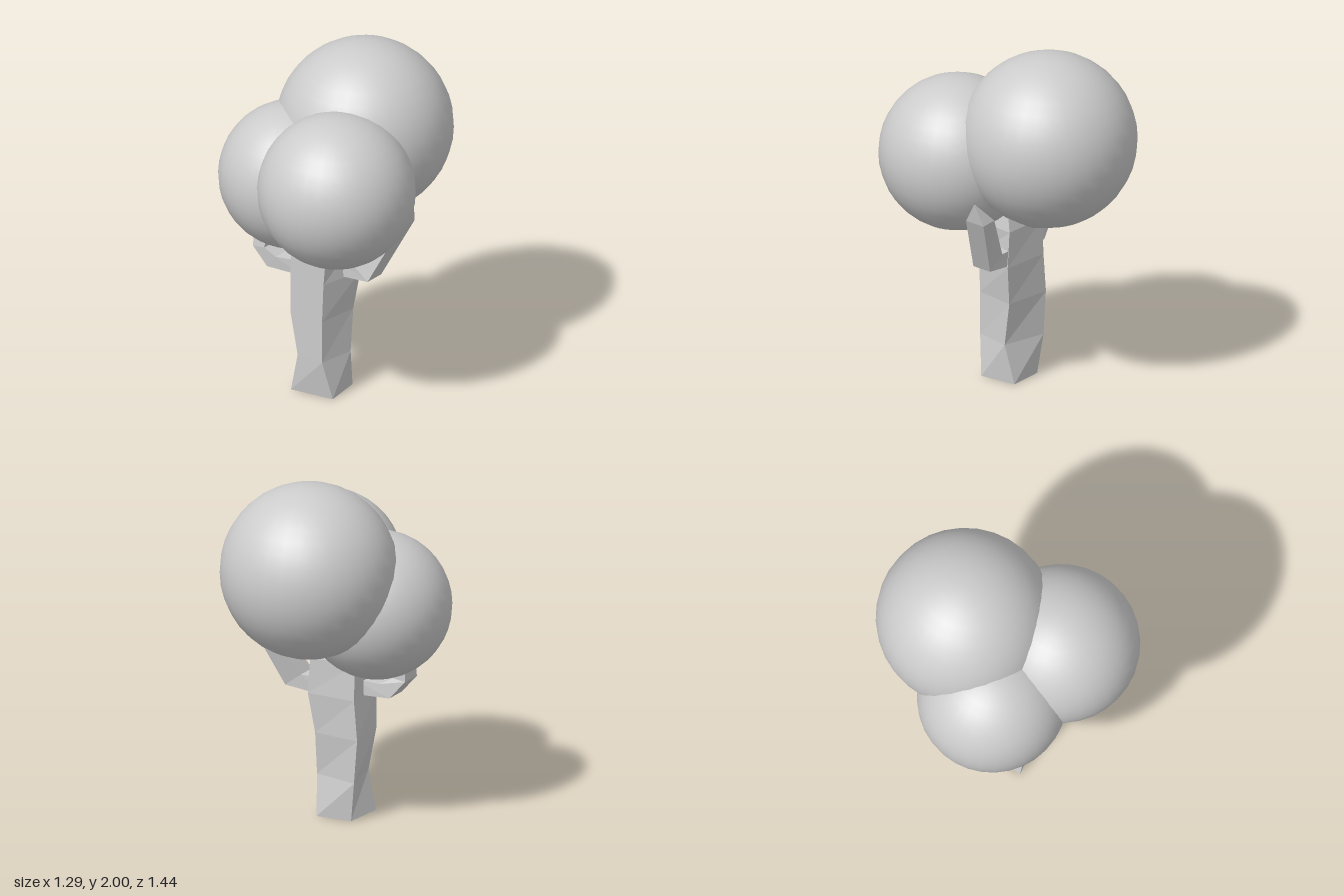
import * as THREE from 'three';

const V = (p) => new THREE.Vector3(...p);

// Skin a run of four-cornered sections and close both ends.
function loft(rings) {
  const pos = [];
  const quad = (a, b, c, d) => [a, b, c, a, c, d].forEach((p) => pos.push(...p));
  for (let r = 0; r < rings.length - 1; r++) {
    const lo = rings[r], hi = rings[r + 1];
    for (let i = 0; i < 4; i++) {
      const j = (i + 1) % 4;
      quad(lo[i], lo[j], hi[j], hi[i]);
    }
  }
  const [a, b, c, d] = rings[0];
  quad(d, c, b, a);
  quad(...rings[rings.length - 1]);
  const geo = new THREE.BufferGeometry();
  geo.setAttribute('position', new THREE.Float32BufferAttribute(pos, 3));
  geo.computeVertexNormals();
  return geo;
}

export function createModel() {
  const group = new THREE.Group();
  const wood = new THREE.MeshStandardMaterial({ color: 0xcccccc, flatShading: true });
  const leaf = new THREE.MeshStandardMaterial({ color: 0xcccccc });
  const add = (name, geo, mat) => {
    const mesh = new THREE.Mesh(geo, mat);
    mesh.name = name;
    group.add(mesh);
    return mesh;
  };

  // Trunk: height, then x/z of front-left, front-right, back-right, back-left corners on screen
  const trunk = [
    [0, [-0.15, 0.23], [0.11, 0.19], [0.08, -0.03], [-0.13, -0.01]],
    [0.23, [-0.1, 0.235], [0.07, 0.235], [0.105, 0.02], [-0.16, -0.03]],
    [0.48, [-0.15, 0.235], [0.07, 0.235], [0.1, -0.01], [-0.18, -0.03]],
    [0.71, [-0.15, 0.235], [0.08, 0.235], [0.135, -0.03], [-0.16, -0.03]],
    [0.92, [-0.14, 0.235], [0.1, 0.235], [0.12, -0.03], [-0.16, -0.02]],
    [1.15, [-0.02, 0.14], [0.06, 0.14], [0.07, 0.04], [0, 0.04]],
  ].map(([y, ...corners]) => corners.map(([x, z]) => [x, y, z]));
  add('trunk', loft(trunk), wood);

  // Branch sections: outer x/y, inner x/y, front z, back z; side is the direction of growth
  const branch = (sections, side) => loft(sections.map(([xo, yo, xi, yi, zf, zb]) => {
    const [z0, z1] = side > 0 ? [zf, zb] : [zb, zf];
    return [[xo, yo, z0], [xo, yo, z1], [xi, yi, z1], [xi, yi, z0]];
  }));
  add('leftBranch', branch([
    [0.05, 0.71, 0.05, 0.81, 0.09, -0.02],
    [0.28, 0.735, 0.18, 0.81, 0.095, -0.03],
    [0.44, 1.08, 0.35, 1.09, 0.005, -0.125],
    [0.465, 1.2, 0.455, 1.2, -0.075, -0.085],
  ], 1), wood);
  add('rightBranch', branch([
    [-0.08, 0.71, -0.08, 0.8, 0.21, 0.08],
    [-0.31, 0.715, -0.25, 0.79, 0.24, 0.1],
    [-0.4, 0.82, -0.32, 0.83, 0.25, 0.12],
    [-0.4, 0.98, -0.31, 0.98, 0.23, 0.12],
  ], -1), wood);

  // Foliage: three overlapping balls
  [
    ['backFoliage', 0.495, [0.015, 1.505, -0.225]],
    ['leftFoliage', 0.44, [0.205, 1.35, 0.28]],
    ['rightFoliage', 0.417, [-0.233, 1.253, 0.1]],
  ].forEach(([name, radius, at]) => {
    add(name, new THREE.SphereGeometry(radius, 32, 20), leaf).position.copy(V(at));
  });

  return group;
}
